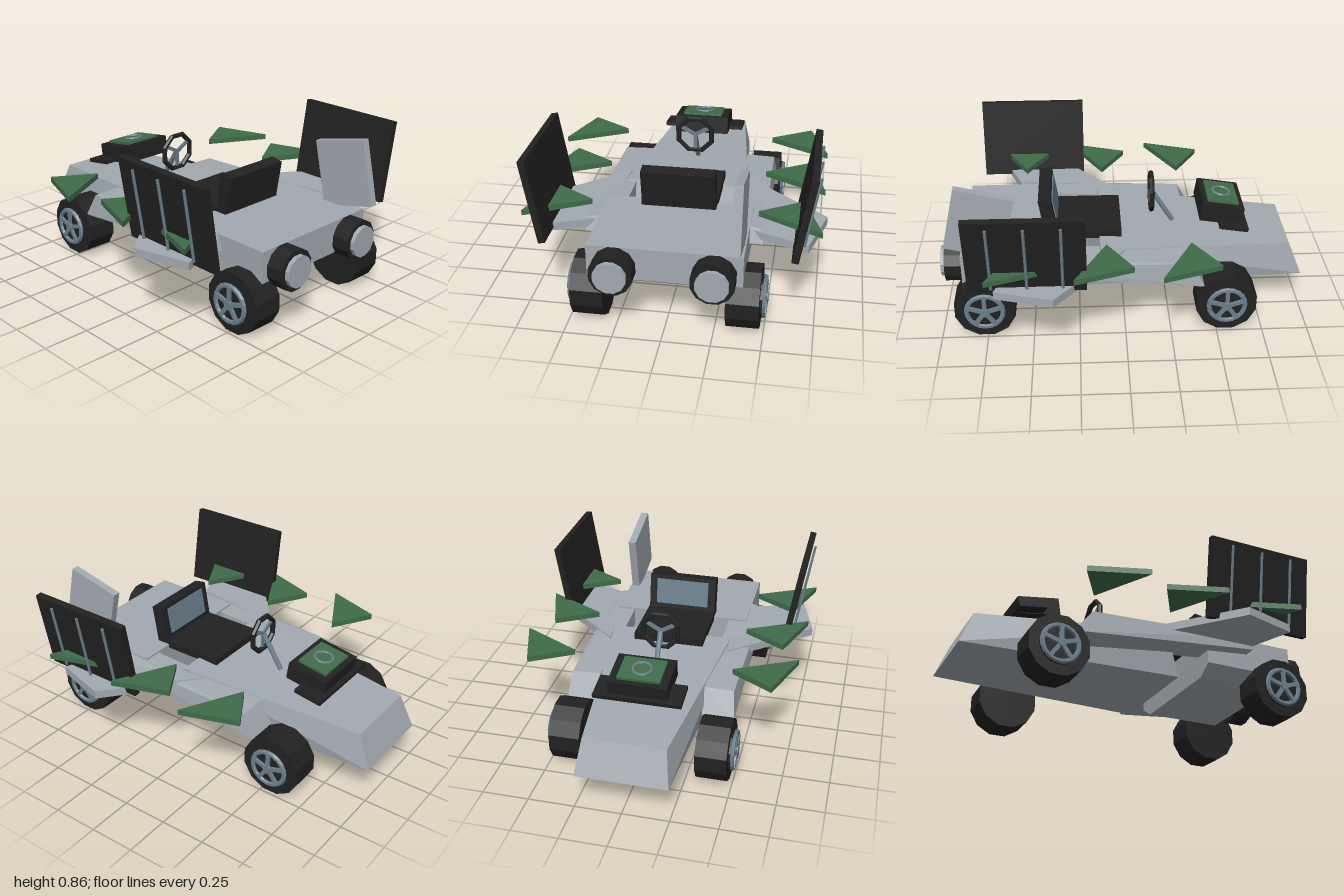
import * as THREE from 'three';
import { ConvexGeometry } from 'three/addons/geometries/ConvexGeometry.js';

const mat = (name, color) => {
  const m = new THREE.MeshStandardMaterial({ color });
  m.name = name;
  return m;
};

export function createModel() {
  const grey = mat('hullGrey', 0xa2a9b0);
  const black = mat('rubberBlack', 0x212121);
  const steel = mat('blueSteel', 0x6b7f8c);
  const green = mat('green', 0x3f6c4a);
  const car = new THREE.Group();
  car.name = 'kart';

  // flat-faced mesh helper
  const add = (parent, name, geometry, material, pos = [0, 0, 0], rot = [0, 0, 0]) => {
    const flat = geometry.index ? geometry.toNonIndexed() : geometry;
    flat.computeVertexNormals();
    const mesh = new THREE.Mesh(flat, material);
    mesh.name = name;
    mesh.position.set(...pos);
    mesh.rotation.set(...rot);
    parent.add(mesh);
    return mesh;
  };
  const box = (w, h, d) => new THREE.BoxGeometry(w, h, d);
  const hull = (pts) => new ConvexGeometry(pts.map((p) => new THREE.Vector3(...p)));
  // symmetric solid from [halfWidth, y, z] points
  const wedge = (pts) => hull(pts.flatMap(([x, y, z]) => [[x, y, z], [-x, y, z]]));
  // horizontal plate from [x, z] outline
  const plate = (s, outline, y0, y1) =>
    hull(outline.flatMap(([x, z]) => [[s * x, y0, z], [s * x, y1, z]]));
  const group = (name, pos, rot = [0, 0, 0]) => {
    const g = new THREE.Group();
    g.name = name;
    g.position.set(...pos);
    g.rotation.set(...rot);
    car.add(g);
    return g;
  };

  // Body
  add(car, 'nose', wedge([
    [0.245, 0.195, -1], [0.218, 0.38, -0.925],
    [0.31, 0.195, 0.21], [0.34, 0.445, 0.13],
  ]), grey);
  add(car, 'rearBody', wedge([
    [0.395, 0.455, 0.35], [0.395, 0.455, 0.88],
    [0.395, 0.275, 0.35], [0.395, 0.275, 0.88],
    [0.31, 0.218, 0.35], [0.31, 0.218, 0.8],
  ]), grey);

  for (const s of [1, -1]) {
    const side = s > 0 ? 'left' : 'right';

    // Side pod and swept side wing
    add(car, side + 'SidePod', hull([
      [0.29, 0.455, 0.57], [0.40, 0.455, 0.57], [0.465, 0.437, 0.57],
      [0.29, 0.37, 0.6], [0.465, 0.37, 0.6],
      [0.29, 0.41, -0.36], [0.45, 0.405, -0.36],
      [0.29, 0.27, -0.43], [0.465, 0.27, -0.43],
    ].map(([x, y, z]) => [s * x, y, z])), grey);
    add(car, side + 'Wing',
      plate(s, [[0.34, 0], [0.785, 0.38], [0.70, 0.685], [0.395, 0.57]], 0.39, 0.435), grey);

    // Floating triangular fins
    for (const z of [-0.35, 0.1, 0.55]) {
      add(car, side + 'TriangleFin',
        plate(s, [[0.435, z], [0.66, z - 0.137], [0.765, z + 0.175]], 0.505, 0.536), green);
    }

    // Leaning side panel with three rods on its outer face
    const panel = group(side + 'SidePanel', [s * 0.677, 0.632, 0.513], [0, 0, -s * 0.165]);
    add(panel, 'panelBoard', box(0.036, 0.458, 0.61), black);
    for (const z of [-0.183, 0, 0.183]) {
      add(panel, 'panelRod', new THREE.CylinderGeometry(0.008, 0.008, 0.39, 6), steel, [s * 0.033, 0, z]);
    }

    // Exhaust nozzle
    const exhaust = group(side + 'Exhaust', [s * 0.253, 0.345, 0.92]);
    add(exhaust, 'exhaustRing',
      new THREE.CylinderGeometry(0.113, 0.113, 0.11, 12).rotateY(Math.PI / 12).rotateX(Math.PI / 2), black);
    add(exhaust, 'exhaustCore',
      new THREE.CylinderGeometry(0.086, 0.086, 0.12, 12).rotateY(Math.PI / 12).rotateX(Math.PI / 2),
      grey, [0, 0, 0.018]);

    // Wheels, built facing outwards along x
    for (const z of [0.76, -0.55]) {
      const wheel = group(side + (z > 0 ? 'RearWheel' : 'FrontWheel'), [s * 0.395, 0.165, z]);
      add(wheel, 'tyre',
        new THREE.CylinderGeometry(0.169, 0.169, 0.168, 12).rotateY(Math.PI / 12).rotateZ(Math.PI / 2), black);
      add(wheel, 'hubDisc',
        new THREE.CylinderGeometry(0.11, 0.11, 0.02, 16).rotateZ(Math.PI / 2), black, [s * 0.09, 0, 0]);
      add(wheel, 'rim',
        new THREE.TorusGeometry(0.098, 0.014, 6, 20).rotateY(Math.PI / 2), steel, [s * 0.099, 0, 0]);
      add(wheel, 'hubCap',
        new THREE.CylinderGeometry(0.024, 0.024, 0.03, 10).rotateZ(Math.PI / 2), steel, [s * 0.105, 0, 0]);
      for (let i = 0; i < 5; i++) {
        add(wheel, 'spoke', box(0.016, 0.095, 0.022).translate(0, 0.05, 0), steel,
          [s * 0.106, 0, 0], [i * Math.PI * 0.4, 0, 0]);
      }
    }
  }

  // Tall flap on the left rear corner
  add(car, 'rearFlap', hull([0.342, 0.386].flatMap((x) => [
    [x, 0.855, 0.885], [x, 0.505, 0.965], [x, 0.43, 0.655], [x, 0.78, 0.575],
  ])), grey);

  // Seat
  add(car, 'seatBase', box(0.4, 0.045, 0.42), black, [0, 0.455, 0.22]);
  const back = group('seatBack', [0, 0.568, 0.412], [0.16, 0, 0]);
  add(back, 'backrest', box(0.395, 0.205, 0.07), black);
  add(back, 'backPad', box(0.31, 0.15, 0.009), steel, [0, 0.005, -0.037]);

  // Steering wheel and column
  const steering = group('steeringWheel', [0, 0.61, -0.165]);
  add(steering, 'steeringRim',
    new THREE.TorusGeometry(0.103, 0.015, 6, 8).rotateZ(Math.PI / 8), black);
  for (let i = 0; i < 3; i++) {
    add(steering, 'steeringSpoke', box(0.02, 0.1, 0.012).translate(0, 0.05, 0), steel,
      [0, 0, 0], [0, 0, Math.PI + (i * Math.PI * 2) / 3]);
  }
  add(car, 'steeringColumn', new THREE.CylinderGeometry(0.014, 0.014, 0.22, 8), steel,
    [0, 0.515, -0.23], [0.56, 0, 0]);

  // Tilted console with a green pad and dial ring
  const consoleBox = group('console', [0, 0.535, -0.55], [-0.16, 0, 0]);
  add(consoleBox, 'consoleBlock', box(0.315, 0.1, 0.235), black);
  add(consoleBox, 'consoleFoot', box(0.47, 0.022, 0.16), black, [0, -0.035, -0.065]);
  add(consoleBox, 'consolePad', box(0.23, 0.016, 0.175), green, [0, 0.056, 0]);
  add(consoleBox, 'dialRing',
    new THREE.TorusGeometry(0.05, 0.007, 6, 12).rotateX(Math.PI / 2), steel, [0, 0.067, 0]);

  return car;
}
